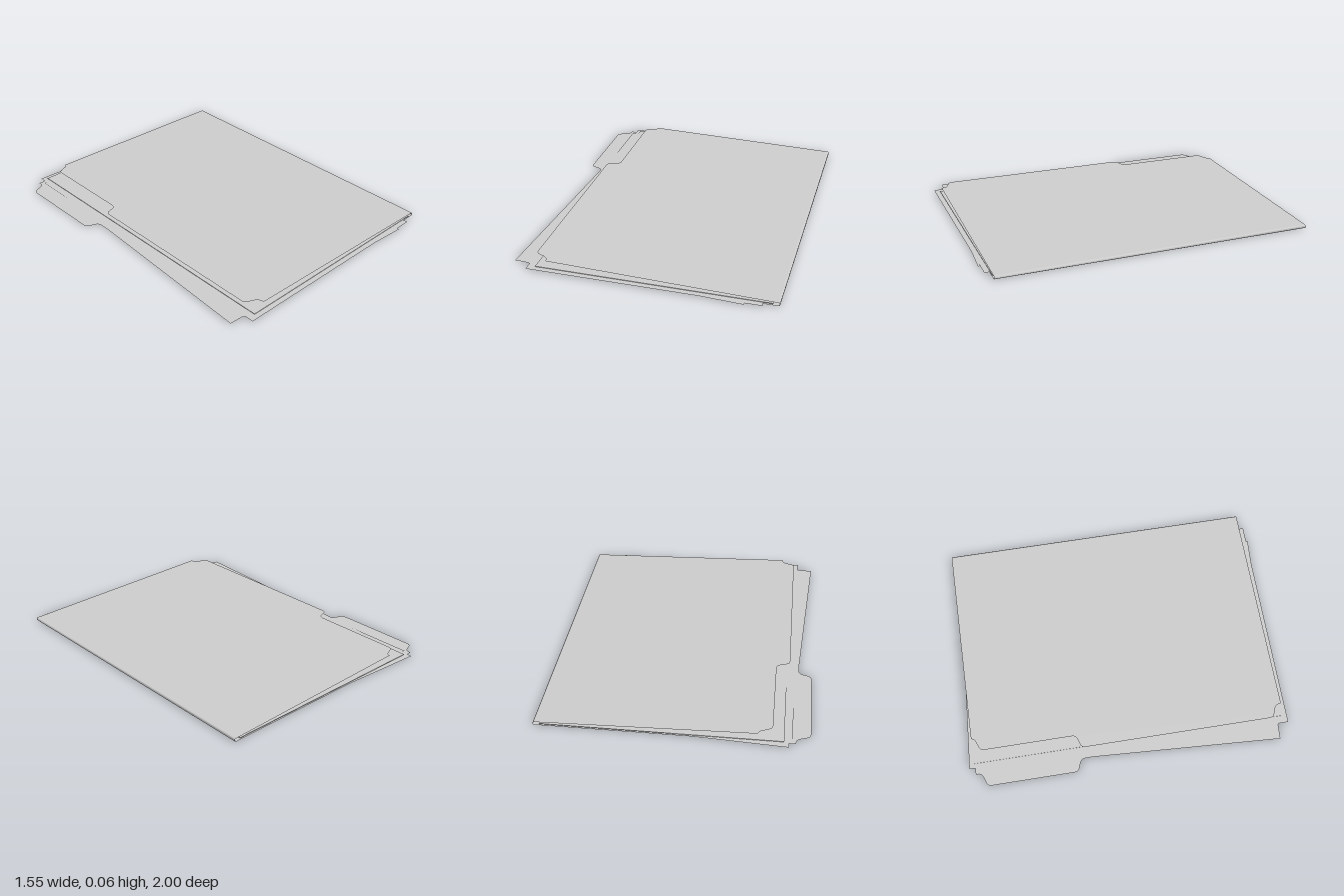
import * as THREE from 'three';

const material = new THREE.MeshStandardMaterial({ color: 0xcccccc, side: THREE.DoubleSide });
const BACK = -0.965, FRONT = 0.955, FOLD = 0.762;

// Flat outline from [x, z, corner radius] points, laid in the ground plane
function flatOutline(points) {
  const shape = new THREE.Shape();
  const at = i => new THREE.Vector2(...points[(i + points.length) % points.length]);
  points.forEach(([, , radius = 0], i) => {
    const p = at(i);
    const a = at(i - 1).sub(p).setLength(radius).add(p);
    const b = at(i + 1).sub(p).setLength(radius).add(p);
    if (i === 0) shape.moveTo(a.x, -a.y);
    else shape.lineTo(a.x, -a.y);
    if (radius) shape.quadraticCurveTo(p.x, -p.y, b.x, -b.y);
  });
  shape.closePath();
  return new THREE.ShapeGeometry(shape, 5).rotateX(-Math.PI / 2);
}

export function createModel() {
  const group = new THREE.Group();
  const add = (name, geometry, x = 0, y = 0, z = 0) => {
    const mesh = new THREE.Mesh(geometry, material);
    mesh.name = name;
    mesh.position.set(x, y, z);
    group.add(mesh);
    return mesh;
  };

  // Bottom flap with the short index tab at the back
  add('bottomFlap', flatOutline([
    [FOLD, BACK], [-0.695, BACK], [-0.695, -0.93, 0.025], [-0.777, -0.9, 0.025],
    [-0.777, -0.345, 0.025], [-0.7, -0.317, 0.025], [-0.7, 0.91, 0.025],
    [-0.62, FRONT], [FOLD, FRONT],
  ]), 0, 0.001, 0);

  // Top cover with the long tab, rising away from the fold
  const cover = flatOutline([
    [FOLD, BACK], [-0.485, BACK], [-0.49, -0.945, 0.015], [-0.565, -0.915, 0.025],
    [-0.565, -0.33, 0.025], [-0.645, -0.305, 0.025], [-0.645, 0.89, 0.025],
    [-0.568, 0.92, 0.025], [-0.563, FRONT], [FOLD, FRONT],
  ]);
  const pos = cover.attributes.position;
  for (let i = 0; i < pos.count; i++) pos.setY(i, 0.021 + (FOLD - pos.getX(i)) * 0.0277);
  cover.computeVertexNormals();
  add('topCover', cover);

  // Spine: a strip bent along a rounded profile
  const profile = [[FOLD, 0.001], [0.769, 0.002], [0.773, 0.006], [0.773, 0.016], [0.769, 0.02], [FOLD, 0.021]];
  const spine = new THREE.PlaneGeometry(1, 1, profile.length - 1, 1);
  const sp = spine.attributes.position;
  for (let i = 0; i < sp.count; i++) {
    const [x, y] = profile[i % profile.length];
    sp.setXYZ(i, x, y, i < profile.length ? BACK : FRONT);
  }
  spine.computeVertexNormals();
  add('spine', spine);

  // Loose sheets, the lowest one lying askew
  const sheet = () => new THREE.PlaneGeometry(1.358, 1.918).rotateX(-Math.PI / 2);
  add('askewSheet', sheet(), -0.035, 0.004, -0.002).rotation.y = -0.06;
  add('middleSheet', sheet(), 0.004, 0.007, 0.026);

  // Neat stack of sheets on top
  add('paperStack', new THREE.BoxGeometry(1.365, 0.003, 1.918), 0.053, 0.0105, -0.005);

  return group;
}
